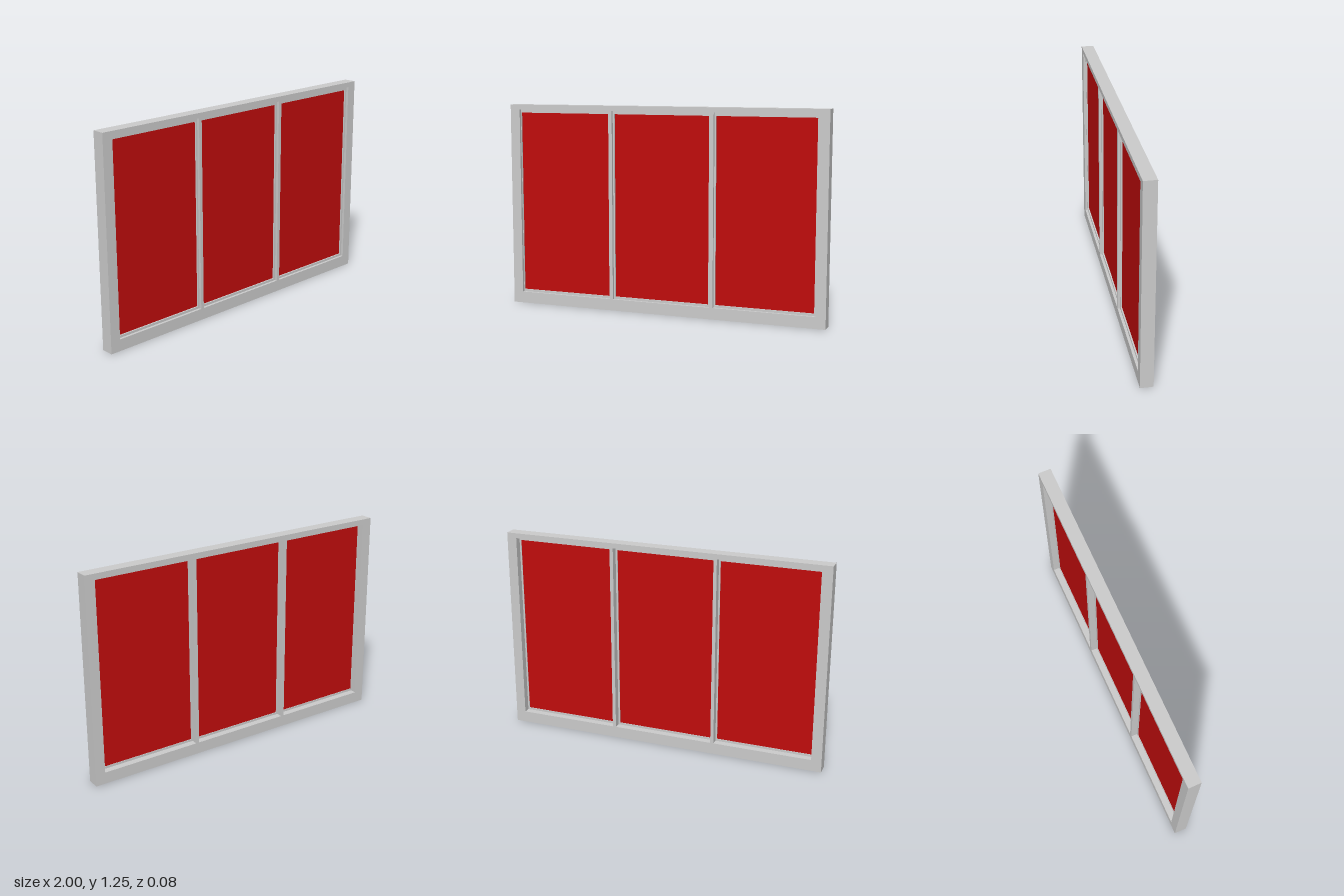
import * as THREE from 'three';

const grey = new THREE.MeshStandardMaterial({ color: 0xcccccc });
const red = new THREE.MeshStandardMaterial({ color: 0xc00c0c });

// rectangle outline from its edges
function rect(Type, [x0, x1, y0, y1]) {
  return new Type([
    new THREE.Vector2(x0, y0), new THREE.Vector2(x1, y0),
    new THREE.Vector2(x1, y1), new THREE.Vector2(x0, y1),
  ]);
}

// flat plate with rectangular openings, between two depths
function plate(name, outer, holes, z0, z1, material) {
  const shape = rect(THREE.Shape, outer);
  holes.forEach((h) => shape.holes.push(rect(THREE.Path, h)));
  const geo = new THREE.ExtrudeGeometry(shape, { depth: z1 - z0, bevelEnabled: false });
  geo.translate(0, 0, z0);
  const mesh = new THREE.Mesh(geo, material);
  mesh.name = name;
  return mesh;
}

export function createModel() {
  const model = new THREE.Group();
  model.name = 'threePaneWindow';

  const bottom = 0.07, top = 1.22;
  const openings = [[-0.938, -0.337], [-0.317, 0.303], [0.324, 0.94]]
    .map(([a, b]) => [a, b, bottom, top]);
  const panes = [[-0.934, -0.347], [-0.307, 0.291], [0.334, 0.929]]
    .map(([a, b]) => [a, b, 0.084, 1.2]);

  // outer frame with its two mullions
  model.add(plate('frame', [-1, 1, 0, 1.25], openings, -0.038, 0.038, grey));

  openings.forEach((opening, i) => {
    // thin bead around each pane, set back in the opening
    model.add(plate('glazingBead', opening, [panes[i]], 0.002, 0.022, grey));
    // coloured pane
    model.add(plate('pane', panes[i], [], 0.005, 0.013, red));
  });
  return model;
}
